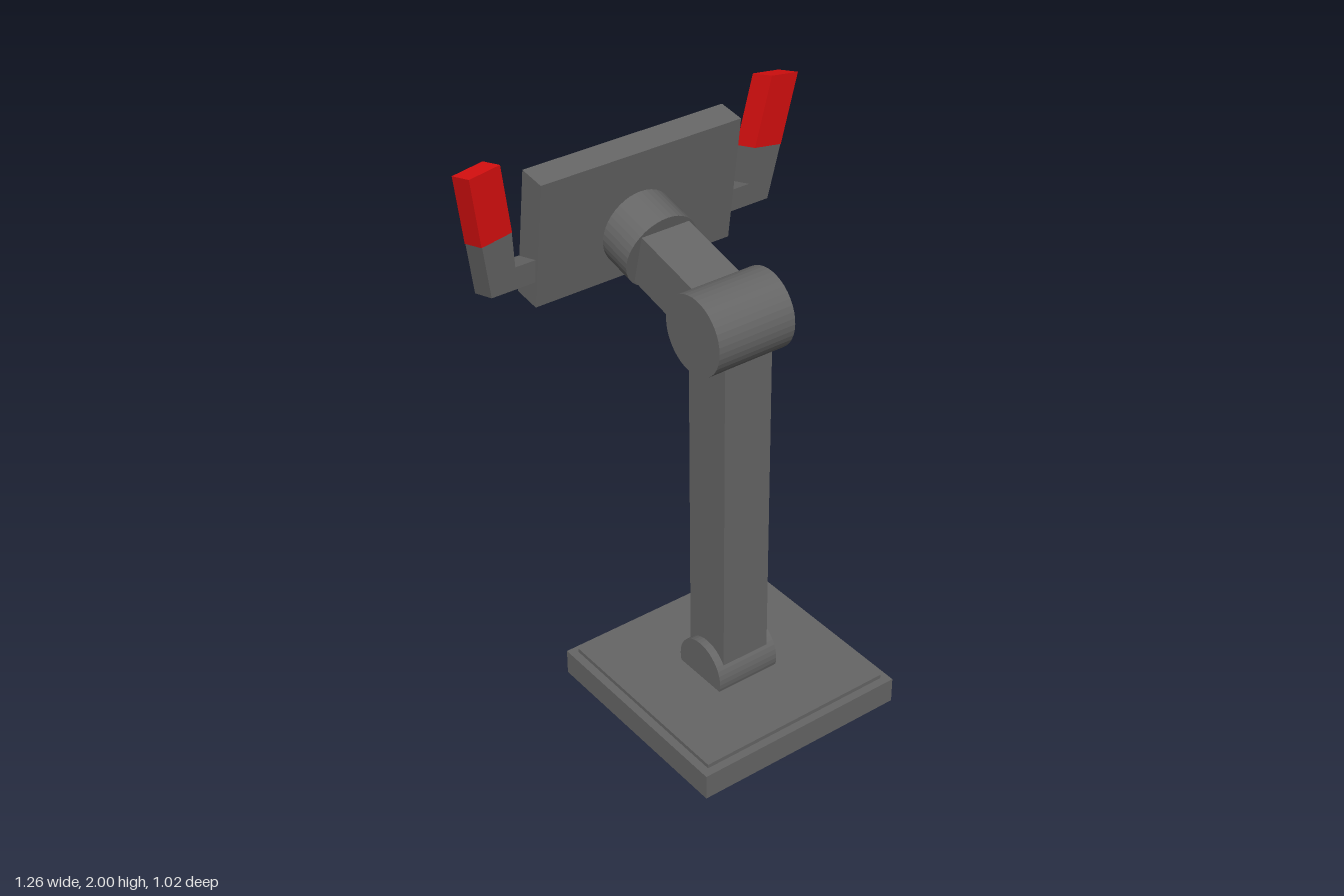
import * as THREE from 'three';

const rad = THREE.MathUtils.degToRad;
const grey = new THREE.MeshStandardMaterial({ color: 0x666666, flatShading: true });
const black = new THREE.MeshStandardMaterial({ color: 0x0c0c0c, flatShading: true });
const red = new THREE.MeshStandardMaterial({ color: 0xe01010, flatShading: true });

function add(parent, name, geometry, material, x, y, z) {
  const mesh = new THREE.Mesh(geometry, material);
  mesh.name = name;
  mesh.position.set(x, y, z);
  parent.add(mesh);
  return mesh;
}

const box = (parent, name, w, h, d, x, y, z, material = grey) =>
  add(parent, name, new THREE.BoxGeometry(w, h, d), material, x, y, z);

// Hinge drum lying along x
function hinge(parent, name, radius, width, y, z) {
  const geometry = new THREE.CylinderGeometry(radius, radius, width, 40).rotateZ(Math.PI / 2);
  return add(parent, name, geometry, grey, 0, y, z);
}

// Outline in x/y, extruded and slanted: leans forward with height, depth runs back and down
const slant = new THREE.Matrix4().makeBasis(
  new THREE.Vector3(1, 0, 0),
  new THREE.Vector3(0, 1, 0.105),
  new THREE.Vector3(0, 0.028, 0.1)
);
function slantedPart(parent, name, points, side, material) {
  const shape = new THREE.Shape(points.map(([x, y]) => new THREE.Vector2(side * x, y - 2)));
  const geometry = new THREE.ExtrudeGeometry(shape, { depth: 1, bevelEnabled: false });
  geometry.translate(0, 0, -1).applyMatrix4(slant);
  add(parent, name, geometry, material, 0, 2, -0.35);
}

export function createModel() {
  const model = new THREE.Group();
  model.name = 'displayStand';
  model.position.x = -0.002;
  const zc = 0.107;

  // Base and post
  box(model, 'basePlate', 0.804, 0.095, 0.804, 0, 0.0475, zc);
  box(model, 'baseTop', 0.745, 0.02, 0.745, 0, 0.1, zc);
  hinge(model, 'lowerHinge', 0.112, 0.244, 0.14, zc);
  box(model, 'post', 0.186, 1.38, 0.186, 0, 0.793, zc);
  hinge(model, 'upperHinge', 0.137, 0.296, 1.483, zc);

  // Arm reaching back and up from the upper hinge
  const arm = new THREE.Group();
  arm.name = 'arm';
  arm.position.set(0, 1.483, zc);
  arm.rotation.x = rad(14);
  model.add(arm);
  box(arm, 'armBeam', 0.186, 0.183, 0.4, 0, 0, -0.2);
  const collar = new THREE.CylinderGeometry(0.138, 0.138, 0.165, 40).rotateX(Math.PI / 2);
  add(arm, 'collar', collar, grey, 0, 0, -0.37 - 0.0825);

  // Tilted panel with the screen on its back
  const panel = new THREE.Group();
  panel.name = 'panel';
  panel.position.set(0, 1.668, -0.423);
  panel.rotation.x = rad(8);
  model.add(panel);
  box(panel, 'panelBody', 0.776, 0.465, 0.102, 0, 0, 0);
  box(panel, 'screen', 0.764, 0.45, 0.012, 0, 0, -0.052, black);

  // Side brackets with red grips
  for (const [side, label] of [[1, 'left'], [-1, 'right']]) {
    slantedPart(model, label + 'Bracket', [
      [0.478, 1.744], [0.586, 1.725], [0.551, 1.525],
      [0.386, 1.525], [0.386, 1.61], [0.464, 1.61]
    ], side, grey);
    slantedPart(model, label + 'Grip', [
      [0.522, 2.0], [0.632, 1.983], [0.588, 1.725], [0.477, 1.744]
    ], side, red);
  }
  return model;
}
